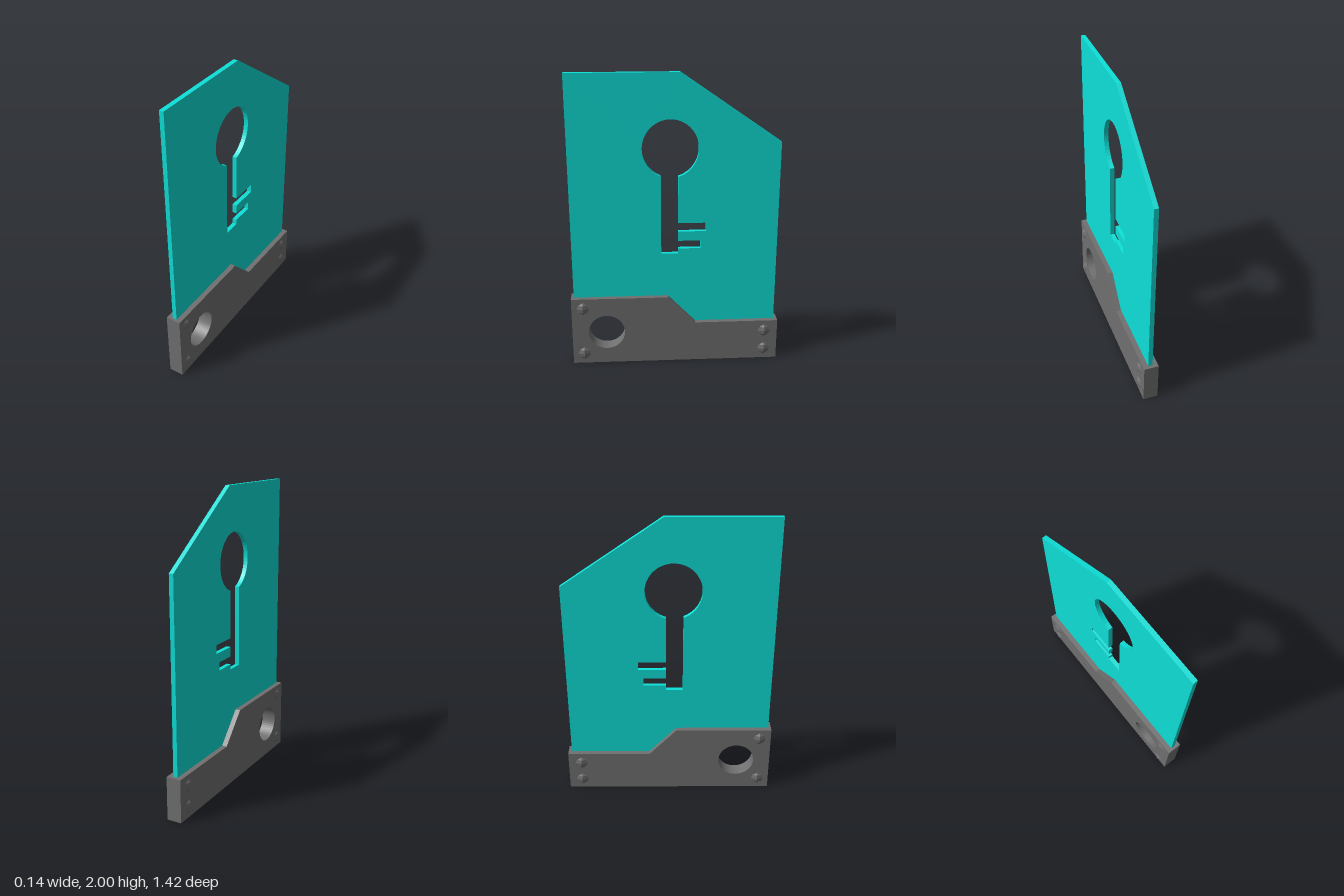
import * as THREE from 'three';

// Profiles are drawn in (-z, y) and extruded symmetrically across x.
function slab(name, outline, hole, thickness, material) {
  const shape = new THREE.Shape(outline.map(([u, y]) => new THREE.Vector2(u, y)));
  shape.holes.push(hole);
  const geometry = new THREE.ExtrudeGeometry(shape, { depth: thickness, bevelEnabled: false, curveSegments: 24 });
  geometry.translate(0, 0, -thickness / 2).rotateY(Math.PI / 2);
  const mesh = new THREE.Mesh(geometry, material);
  mesh.name = name;
  return mesh;
}

export function createModel() {
  const model = new THREE.Group();
  model.name = 'keyCard';
  const cyan = new THREE.MeshStandardMaterial({ color: 0x0de0d8, flatShading: true });
  const grey = new THREE.MeshStandardMaterial({ color: 0x707070, flatShading: true });

  // Key-shaped cutout: round bow, straight stem and two teeth
  const key = new THREE.Path();
  const cu = -0.03, left = -0.093, right = 0.02, rx = 0.183, ry = 0.192;
  const a0 = -Math.acos((right - cu) / rx);
  const a1 = Math.acos((left - cu) / rx);
  key.absellipse(cu, 1.514, rx, ry, a0, 2 * Math.PI - a1, false, 0);
  [
    [left, 0.795], [right, 0.795],
    [right, 0.83], [0.17, 0.83], [0.17, 0.885], [right, 0.885],
    [right, 0.951], [0.205, 0.951], [0.205, 1.01], [right, 1.01],
  ].forEach(([u, y]) => key.lineTo(u, y));
  key.closePath();

  // Thin panel with one clipped top corner, its foot sunk into the holder
  model.add(slab('panel', [
    [-0.69, 0.44], [-0.07, 0.44], [0.12, 0.25], [0.685, 0.25],
    [0.685, 1.55], [0.032, 2], [-0.69, 2],
  ], key, 0.03, cyan));

  // Stepped holder with a round hole
  const eye = new THREE.Path();
  eye.absarc(-0.472, 0.235, 0.124, 0, Math.PI * 2, true);
  model.add(slab('holder', [
    [-0.708, 0], [0.708, 0], [0.708, 0.29], [0.137, 0.29], [-0.05, 0.487], [-0.708, 0.487],
  ], eye, 0.1, grey));

  // Rivets whose domes show on both sides of the holder
  const rivets = new THREE.Group();
  rivets.name = 'rivets';
  const dome = new THREE.SphereGeometry(0.068, 8, 8);
  [[0.63, 0.415], [0.63, 0.075], [-0.617, 0.215], [-0.617, 0.075]].forEach(([z, y]) => {
    const rivet = new THREE.Mesh(dome, grey);
    rivet.name = 'rivet';
    rivet.position.set(0, y, z);
    rivets.add(rivet);
  });
  model.add(rivets);
  return model;
}
